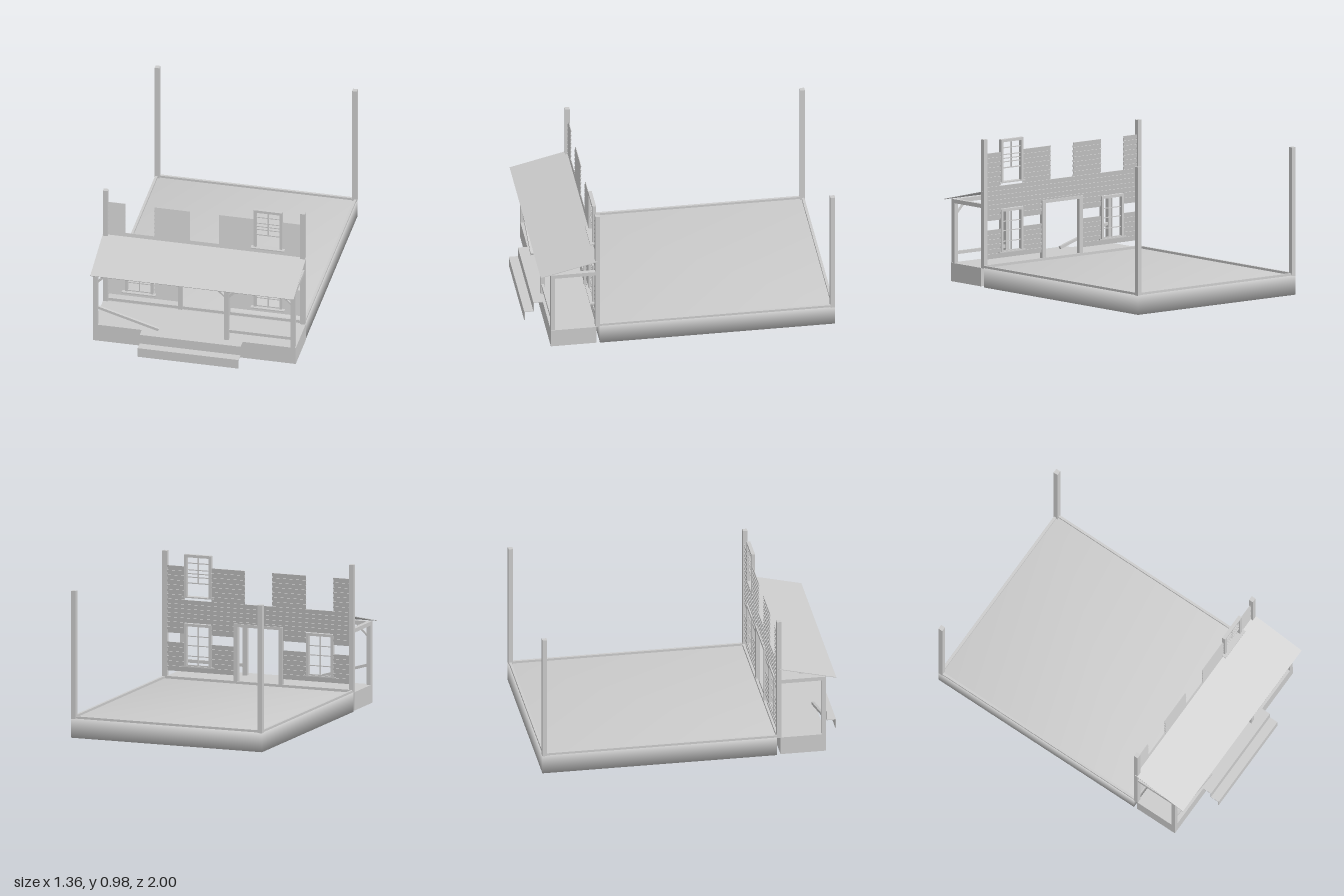
import * as THREE from 'three';
import { mergeVertices } from 'three/addons/utils/BufferGeometryUtils.js';

export function createModel() {
  const model = new THREE.Group();
  model.name = 'unfinishedHouse';
  const solid = new THREE.MeshStandardMaterial({ color: 0xcccccc });
  const thin = new THREE.MeshStandardMaterial({ color: 0xcccccc, side: THREE.DoubleSide });

  function group(name) {
    const g = new THREE.Group();
    g.name = name;
    model.add(g);
    return g;
  }
  function add(parent, name, geometry, material = solid) {
    const mesh = new THREE.Mesh(geometry, material);
    mesh.name = name;
    parent.add(mesh);
    return mesh;
  }
  // Box given by its limits on each axis
  function box(parent, name, x0, x1, y0, y1, z0, z1) {
    const mesh = add(parent, name, new THREE.BoxGeometry(x1 - x0, y1 - y0, z1 - z0));
    mesh.position.set((x0 + x1) / 2, (y0 + y1) / 2, (z0 + z1) / 2);
    return mesh;
  }
  // Slanted bar between two points of a plane facing z
  function bar(parent, name, xa, ya, xb, yb, z, size) {
    const mesh = add(parent, name, new THREE.BoxGeometry(Math.hypot(xb - xa, yb - ya), size, size));
    mesh.position.set((xa + xb) / 2, (ya + yb) / 2, z);
    mesh.rotation.z = Math.atan2(yb - ya, xb - xa);
    return mesh;
  }
  // Box without its underside, optionally with normals blended over the edges
  function openBox(name, x0, x1, y0, y1, z0, z1, smooth) {
    let geo = new THREE.BoxGeometry(x1 - x0, y1 - y0, z1 - z0);
    if (smooth) {
      geo.deleteAttribute('normal');
      geo.deleteAttribute('uv');
      geo = mergeVertices(geo);
      geo.computeVertexNormals();
    }
    const index = Array.from(geo.index.array);
    index.splice(18, 6);
    geo.clearGroups();
    geo.setIndex(index);
    const mesh = add(model, name, geo, thin);
    mesh.position.set((x0 + x1) / 2, (y0 + y1) / 2, (z0 + z1) / 2);
  }

  // Foundation with floor, and the sill beams on its rim
  openBox('foundation', -0.675, 0.675, 0.005, 0.133, -1, 0.553, true);
  const sills = group('sills');
  for (const s of [-1, 1]) {
    const x = s * 0.665;
    box(sills, 'sideSill', x - 0.008, x + 0.008, 0.13, 0.148, -0.97, 0.555);
  }
  box(sills, 'backSill', -0.65, 0.65, 0.13, 0.148, -0.995, -0.979);
  box(sills, 'frontSill', -0.65, 0.65, 0.13, 0.15, 0.55, 0.566);

  // Tall corner posts
  const posts = group('cornerPosts');
  for (const s of [-1, 1]) {
    const x = s * 0.66;
    box(posts, 'backPost', x - 0.016, x + 0.016, 0.13, 0.98, -1, -0.969);
    box(posts, 'frontPost', x - 0.016, x + 0.016, 0.13, 0.98, 0.553, 0.583);
  }

  // Lapped siding boards of the front wall
  const siding = group('frontSiding');
  function boards(x0, x1, y0, y1) {
    const n = Math.max(1, Math.round((y1 - y0) / 0.031));
    const h = (y1 - y0) / n;
    for (let i = 0; i < n; i++) {
      const y = y0 + h * i;
      const board = box(siding, 'board', x0, x1, y, y + h + 0.002, 0.562, 0.566);
      board.rotation.x = -0.18;
    }
  }
  const bays = [[-0.645, -0.53], [-0.336, -0.172], [0.172, 0.333], [0.522, 0.645]];
  for (const [a, b] of bays) {
    boards(a, b, 0.217, 0.375);
    boards(a, b, 0.437, 0.51);
  }
  for (const s of [-1, 1]) {
    boards(s < 0 ? -0.645 : 0.172, s < 0 ? -0.172 : 0.645, 0.185, 0.217);
  }
  boards(-0.645, 0.645, 0.51, 0.66);
  for (const [a, b] of [[-0.645, -0.53], [-0.336, -0.098], [0.096, 0.333], [0.522, 0.645]]) {
    boards(a, b, 0.66, 0.883);
  }

  // Windows: frame, projecting sill and glazing bars
  function windowFrame(name, cx, y0, y1, paneBottom, rows) {
    const g = group(name);
    const w = 0.095, t = 0.018, z0 = 0.556, z1 = 0.58;
    for (const s of [-1, 1]) {
      const x = cx + s * (w - t / 2);
      box(g, 'jamb', x - t / 2, x + t / 2, y0, y1, z0, z1);
    }
    box(g, 'head', cx - w, cx + w, y1 - t, y1, z0, z1);
    box(g, 'sill', cx - 0.113, cx + 0.113, y0 - 0.003, y0 + 0.005, 0.556, 0.597);
    const inner = w - t;
    box(g, 'sashBottom', cx - inner, cx + inner, paneBottom, paneBottom + 0.007, 0.564, 0.572);
    box(g, 'uprightBar', cx - 0.003, cx + 0.003, paneBottom, y1 - t, 0.565, 0.571);
    for (const y of rows) box(g, 'crossBar', cx - inner, cx + inner, y - 0.003, y + 0.003, 0.565, 0.571);
  }
  for (const s of [-1, 1]) {
    windowFrame(s < 0 ? 'lowerRightWindow' : 'lowerLeftWindow', s < 0 ? -0.435 : 0.427, 0.22, 0.506, 0.225, [0.29, 0.36, 0.422]);
  }
  windowFrame('upperWindow', 0.427, 0.68, 0.965, 0.772, [0.815, 0.838, 0.863, 0.908]);

  // Door frame
  const door = group('doorFrame');
  box(door, 'jamb', -0.174, -0.146, 0.133, 0.53, 0.553, 0.581);
  box(door, 'jamb', 0.143, 0.172, 0.133, 0.53, 0.553, 0.581);
  box(door, 'head', -0.146, 0.143, 0.51, 0.53, 0.553, 0.581);

  // Porch deck and front steps
  openBox('porchDeck', -0.675, 0.68, 0.01, 0.132, 0.577, 0.878, false);
  const steps = group('steps');
  for (const [y, z] of [[0.132, 0.94], [0.066, 1]]) {
    box(steps, 'tread', -0.35, 0.325, y - 0.004, y, z - 0.063, z);
    box(steps, 'riser', -0.35, 0.325, y - 0.066, y, z - 0.004, z);
  }

  // Porch posts, beams and braces
  const porch = group('porchFrame');
  for (const x of [-0.66, 0.216, 0.66]) {
    box(porch, 'porchPost', x - 0.015, x + 0.015, 0.13, 0.53, 0.85, 0.878);
    for (const s of [-1, 1]) {
      if (Math.abs(x + s * 0.1) > 0.68) continue;
      bar(porch, 'brace', x + s * 0.012, 0.455, x + s * 0.088, 0.53, 0.864, 0.012);
    }
  }
  box(porch, 'frontBeam', -0.675, 0.675, 0.527, 0.553, 0.85, 0.878);
  for (const x of [-0.66, 0.66]) box(porch, 'sideBeam', x - 0.014, x + 0.014, 0.527, 0.553, 0.58, 0.85);

  // Railings: one intact, one fallen at one end
  box(porch, 'railing', 0.23, 0.645, 0.187, 0.208, 0.856, 0.872);
  bar(porch, 'fallenRailing', -0.65, 0.262, -0.24, 0.142, 0.864, 0.018);

  // Sloping porch roof
  const rise = 0.092, run = 0.38;
  const roof = add(model, 'porchRoof', new THREE.BoxGeometry(1.36, 0.004, Math.hypot(rise, run)));
  roof.position.set(0, 0.59, 0.755);
  roof.rotation.x = Math.atan2(rise, run);

  return model;
}
